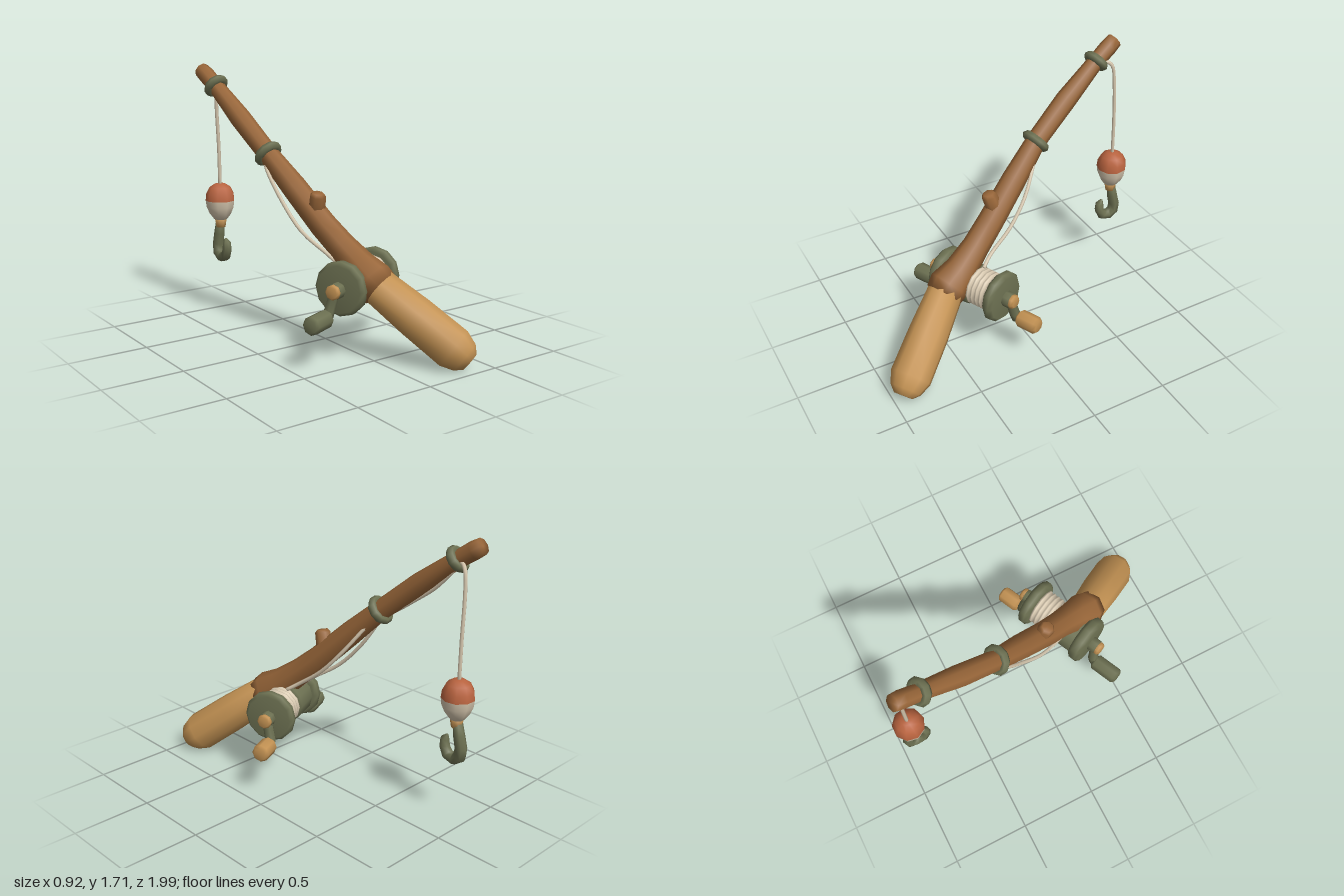
import * as THREE from 'three';

const mat = (name, color) => Object.assign(new THREE.MeshStandardMaterial({ color }), { name });

// Tapered limb through [x, y, z, radius] keys, closed at both ends
function limb(keys, sides = 8, steps = 1) {
  const curve = new THREE.CatmullRomCurve3(keys.map(k => new THREE.Vector3(k[0], k[1], k[2])));
  const n = (keys.length - 1) * steps, pos = [], index = [];
  const ref = new THREE.Vector3(1, 0, 0);
  const ring = (t, r) => {
    const p = curve.getPoint(t), T = curve.getTangent(t);
    const side = ref.clone().cross(T).normalize(), up = T.clone().cross(side);
    for (let j = 0; j < sides; j++) {
      const a = j / sides * Math.PI * 2;
      const v = p.clone().addScaledVector(side, r * Math.cos(a)).addScaledVector(up, r * Math.sin(a));
      pos.push(v.x, v.y, v.z);
    }
  };
  ring(0, 0);
  for (let i = 0; i <= n; i++) {
    const f = i / steps, k = Math.min(Math.floor(f), keys.length - 2);
    ring(i / n, THREE.MathUtils.lerp(keys[k][3], keys[k + 1][3], f - k));
  }
  ring(1, 0);
  for (let i = 0; i < n + 2; i++) for (let j = 0; j < sides; j++) {
    const a = i * sides + j, b = i * sides + (j + 1) % sides;
    index.push(a, b, a + sides, b, b + sides, a + sides);
  }
  const g = new THREE.BufferGeometry();
  g.setAttribute('position', new THREE.Float32BufferAttribute(pos, 3));
  g.setIndex(index);
  g.computeVertexNormals();
  return g;
}

const lathe = (pts, sides) => new THREE.LatheGeometry(pts.map(p => new THREE.Vector2(p[0], p[1])), sides);

// Bevelled cylinder along x, centred at c
function drum(c, length, r, bevel, sides) {
  const h = length / 2;
  return lathe([[0, -h], [r - bevel, -h], [r, -h + bevel], [r, h - bevel], [r - bevel, h], [0, h]], sides)
    .rotateZ(-Math.PI / 2).translate(c, 0, 0);
}

export function createModel() {
  const model = new THREE.Group();
  model.name = 'fishingRod';
  const lightWood = mat('light wood', 0xc39253);
  const wood = mat('brown wood', 0x986639);
  const green = mat('olive metal', 0x6d7152);
  const red = mat('float red', 0xb8633f);
  const cream = mat('cream line', 0xd8c9b0);
  const add = (name, geo, material, parent = model) => {
    const m = new THREE.Mesh(geo, material);
    m.name = name;
    parent.add(m);
    return m;
  };

  // Grip and wooden pole
  add('grip', limb([
    [0.345, 0.06, 0.95, 0.06], [0.327, 0.084, 0.924, 0.1], [0.29, 0.13, 0.87, 0.13],
    [0.16, 0.295, 0.68, 0.127], [0.02, 0.47, 0.48, 0.112]], 10), lightWood);
  add('pole', limb([
    [0.035, 0.445, 0.51, 0.118], [0.012, 0.485, 0.46, 0.128], [-0.01, 0.56, 0.36, 0.102],
    [-0.05, 0.665, 0.235, 0.086], [-0.095, 0.775, 0.11, 0.083], [-0.165, 0.985, -0.1, 0.078],
    [-0.23, 1.175, -0.295, 0.064], [-0.28, 1.38, -0.54, 0.067], [-0.32, 1.57, -0.78, 0.052],
    [-0.335, 1.64, -0.88, 0.055], [-0.344, 1.672, -0.93, 0.05]], 8), wood);
  add('twigStub', limb([[-0.1, 0.79, 0.045, 0.058], [-0.118, 0.9, 0.08, 0.052],
    [-0.125, 0.955, 0.098, 0.05], [-0.126, 0.972, 0.102, 0.036]], 7), wood);

  // Line guides around the pole
  for (const [x, y, z, r] of [[-0.23, 1.175, -0.293, 0.068], [-0.32, 1.573, -0.78, 0.058]]) {
    const guide = add('lineGuide', new THREE.TorusGeometry(r, 0.029, 6, 10), green);
    guide.position.set(x, y, z);
    guide.quaternion.setFromUnitVectors(new THREE.Vector3(0, 0, 1),
      new THREE.Vector3(-0.16, 0.62, -0.77).normalize());
  }

  // Reel, turned so its axle runs along local x
  const reel = new THREE.Group();
  reel.name = 'reel';
  reel.position.set(0.03, 0.45, 0.3);
  reel.rotation.y = 0.432;
  model.add(reel);
  add('leftFlange', drum(-0.205, 0.085, 0.165, 0.022, 12), green, reel);
  add('rightFlange', drum(0.215, 0.075, 0.165, 0.022, 12), green, reel);
  add('reelBody', drum(-0.07, 0.21, 0.135, 0.02, 12), green, reel);
  const coils = [[0.1, 0.02]];
  for (let i = 0; i < 5; i++) {
    const x = 0.025 + i * 0.032;
    coils.push([0.112, x], [0.125, x + 0.011], [0.125, x + 0.021]);
  }
  coils.push([0.1, 0.19]);
  add('spooledLine', lathe(coils, 12).rotateZ(-Math.PI / 2), cream, reel);

  // Cranks on both ends of the axle
  for (const s of [-1, 1]) {
    const side = s < 0 ? 'left' : 'right';
    add(side + 'Axle', drum(s * 0.27, 0.07, 0.05, 0.01, 8), green, reel);
    add(side + 'AxleCap', drum(s * 0.305, 0.05, 0.046, 0.012, 8), lightWood, reel);
    add(side + 'CrankArm', limb([[s * 0.285, 0.03, 0.005, 0.036], [s * 0.287, -0.05, -0.015, 0.032],
      [s * 0.297, -0.12, -0.032, 0.034], [s * 0.31, -0.165, -0.038, 0.032]], 7), green, reel);
    const knob = add(side + 'CrankKnob', drum(s * 0.4, s < 0 ? 0.19 : 0.15, 0.056, 0.016, 8),
      s < 0 ? green : lightWood, reel);
    knob.position.set(s < 0 ? -0.01 : 0, s < 0 ? -0.158 : -0.145, -0.038);
  }

  // Line: two slack strands to the first guide, one on to the tip and down
  const strands = [
    [[0.06, 0.57, 0.24], [0.02, 0.62, 0.17], [-0.02, 0.74, 0.01], [-0.075, 0.9, -0.13], [-0.17, 1.08, -0.25], [-0.22, 1.13, -0.3]],
    [[-0.08, 0.55, 0.26], [-0.12, 0.61, 0.2], [-0.195, 0.73, 0.03], [-0.235, 0.9, -0.13], [-0.265, 1.08, -0.25], [-0.25, 1.14, -0.3]],
    [[-0.235, 1.12, -0.28], [-0.255, 1.2, -0.41], [-0.275, 1.28, -0.52], [-0.295, 1.38, -0.65], [-0.31, 1.51, -0.77]],
    [[-0.31, 1.52, -0.77], [-0.29, 1.567, -0.835], [-0.27, 1.54, -0.872], [-0.26, 1.42, -0.89], [-0.245, 1.15, -0.897], [-0.24, 0.89, -0.9]]];
  for (const s of strands) add('line', limb(s.map(p => [...p, 0.012]), 6, 4), cream);

  // Float: red top, cream bottom, wooden plug
  const bobber = new THREE.Group();
  bobber.name = 'float';
  bobber.position.set(-0.24, 0, -0.9);
  model.add(bobber);
  add('floatTop', lathe([[0.1, 0.79], [0.095, 0.835], [0.073, 0.88], [0.035, 0.905], [0, 0.908]], 9), red, bobber);
  add('floatBottom', lathe([[0, 0.655], [0.045, 0.66], [0.075, 0.7], [0.094, 0.745], [0.1, 0.79]], 9), cream, bobber);
  add('floatPlug', lathe([[0, 0.6], [0.032, 0.605], [0.042, 0.665], [0, 0.67]], 8), lightWood, bobber);

  // Hook
  add('hook', limb([
    [0, 0.63, -0.01, 0.03], [0, 0.56, -0.022, 0.036], [0, 0.48, -0.042, 0.038], [0, 0.425, -0.035, 0.04],
    [0, 0.397, 0.005, 0.038], [0, 0.41, 0.053, 0.036], [0, 0.46, 0.079, 0.032],
    [0, 0.505, 0.078, 0.028], [0, 0.535, 0.062, 0.008]], 7), green, bobber);

  return model;
}
